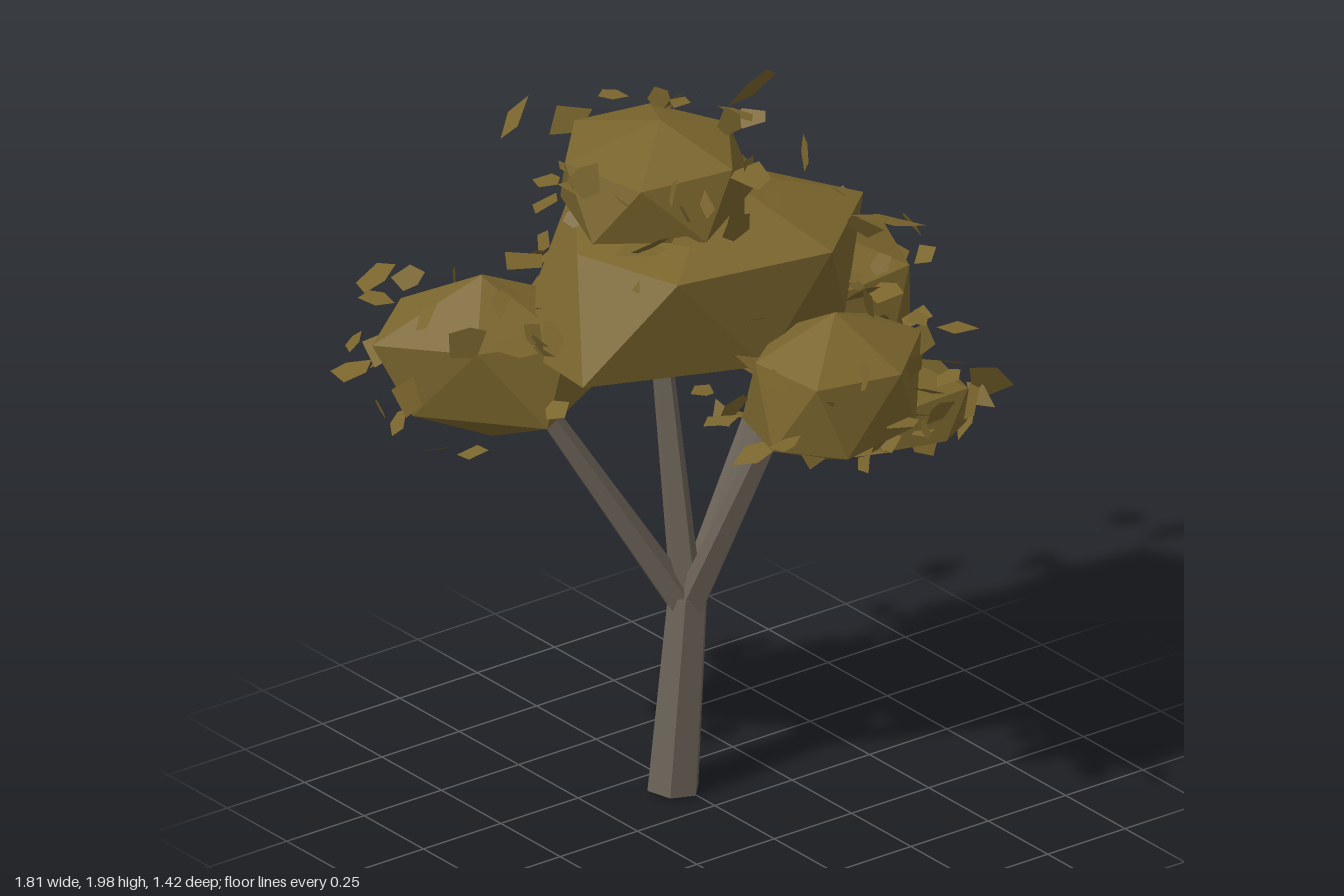
import * as THREE from 'three';
import { mergeGeometries } from 'three/addons/utils/BufferGeometryUtils.js';
import { ConvexGeometry } from 'three/addons/geometries/ConvexGeometry.js';

const V = (x, y, z) => new THREE.Vector3(x, y, z);

// Small seeded random generator
let seed = 11;
function rand(min = 0, max = 1) {
  seed = (seed * 16807) % 2147483647;
  return min + (max - min) * (seed / 2147483647);
}

// Larger loose leaves around the outside: x, y, z, size
const LOOSE = [
  [0.5, 1.72, -0.48, 0.085], [0.4, 1.63, 0.22, 0.09], [-0.02, 1.96, -0.12, 0.04],
  [-0.83, 1.31, -0.45, 0.06], [0.84, 0.93, 0.02, 0.05], [0.16, 1.28, 0.68, 0.045],
  [0.01, 1.2, 0.61, 0.045], [-0.15, 1.26, 0.5, 0.06], [0.51, 1.34, 0.35, 0.05],
  [-0.25, 1.3, 0.35, 0.06], [-0.14, 1.75, -0.66, 0.06], [0.59, 1.55, -0.62, 0.05],
  [-0.62, 1.45, -0.62, 0.06], [-0.54, 1.56, -0.2, 0.06],
];

// One flat irregular leaf with four or five corners, turned at random
function leafGeometry(x, y, z, size) {
  const n = rand() < 0.5 ? 4 : 5, shape = new THREE.Shape();
  for (let i = 0; i < n; i++) {
    const a = (i / n) * Math.PI * 2 + rand(-0.3, 0.3), r = size * rand(0.75, 1.25);
    const px = r * Math.cos(a), py = 0.75 * r * Math.sin(a);
    if (i) shape.lineTo(px, py); else shape.moveTo(px, py);
  }
  return new THREE.ShapeGeometry(shape)
    .rotateZ(rand(0, 6.28)).rotateX(rand(0, 6.28)).rotateY(rand(0, 6.28))
    .translate(x, y, z);
}

// Leaves scattered around a faceted mass
function scatteredLeaves(mass, count) {
  mass.computeBoundingBox();
  const centre = mass.boundingBox.getCenter(V(0, 0, 0));
  const half = mass.boundingBox.getSize(V(0, 0, 0)).multiplyScalar(0.5);
  const list = [];
  for (let i = 0; i < count; i++) {
    const a = i * 2.4 + rand(-0.3, 0.3), s = rand(-0.85, 0.9), c = Math.sqrt(1 - s * s);
    const out = rand(-0.02, 0.075);
    list.push(leafGeometry(
      centre.x + (half.x + out) * c * Math.cos(a),
      Math.min(centre.y + (half.y + out) * s, 1.94),
      centre.z + (half.z + out) * c * Math.sin(a),
      rand(0.034, 0.068)));
  }
  return mergeGeometries(list);
}

// Faceted foliage clump: apex and bottom points, and two level rings given as x, z pairs
function clump(name, material, leafCount, apex, bottom, upperY, upper, lowerY, lower) {
  const points = [V(...apex), V(...bottom)];
  for (const [y, ring] of [[upperY, upper], [lowerY, lower]]) {
    for (let i = 0; i < ring.length; i += 2) {
      points.push(V(ring[i], y + rand(-0.015, 0.015), ring[i + 1]));
    }
  }
  const mass = new THREE.Mesh(new ConvexGeometry(points), material);
  mass.name = 'leafMass';
  const leaves = new THREE.Mesh(scatteredLeaves(mass.geometry, leafCount), material);
  leaves.name = 'leaves';
  const group = new THREE.Group();
  group.name = name;
  return group.add(mass, leaves);
}

// Tapered limb between two points
function limb(name, from, to, r0, r1, sides, turn, material) {
  const a = V(...from), b = V(...to), dir = b.clone().sub(a);
  const mesh = new THREE.Mesh(
    new THREE.CylinderGeometry(r1, r0, dir.length(), sides).rotateY(turn), material);
  mesh.name = name;
  mesh.position.copy(a).add(b).multiplyScalar(0.5);
  mesh.quaternion.setFromUnitVectors(V(0, 1, 0), dir.normalize());
  return mesh;
}

export function createModel() {
  seed = 11;
  const bark = new THREE.MeshStandardMaterial({ color: 0x6b6257, flatShading: true });
  bark.name = 'bark';
  const foliage = new THREE.MeshStandardMaterial({ color: 0x7a652d, flatShading: true, side: THREE.DoubleSide });
  foliage.name = 'foliage';

  const tree = new THREE.Group();
  tree.name = 'tree';

  // Leaning trunk and four branches
  tree.add(limb('trunk', [-0.03, 0.008, -0.138], [0.018, 0.545, -0.138], 0.072, 0.056, 6, 0.3, bark));
  const fork = [0.018, 0.5, -0.138];
  const tips = {
    rightBranch: [-0.36, 1.17, -0.31],
    leftBranch: [0.42, 1.09, -0.27],
    frontBranch: [0.075, 1.2, 0.2],
    middleBranch: [-0.005, 1.28, -0.23],
  };
  for (const [name, tip] of Object.entries(tips)) {
    tree.add(limb(name, fork, tip, 0.043, 0.027, 5, 0, bark));
  }

  // Foliage clumps with their scattered leaves
  tree.add(
    clump('mainFoliage', foliage, 30, [0.1, 1.73, -0.13], [0, 1.18, -0.14],
      1.62, [0.48, 0, 0.18, 0.26, -0.25, 0.17, -0.33, -0.15, -0.1, -0.46, 0.25, -0.42],
      1.33, [0.36, 0.08, 0, 0.21, -0.45, 0.03, -0.42, -0.3, 0.05, -0.54, 0.36, -0.3]),
    clump('topFoliage', foliage, 28, [-0.1, 1.94, -0.1], [-0.1, 1.64, -0.08],
      1.87, [0.12, -0.1, 0.02, -0.3, -0.2, -0.33, -0.37, -0.15, -0.3, 0.08, -0.05, 0.14],
      1.71, [0.13, 0, 0.1, -0.22, -0.1, -0.33, -0.3, -0.26, -0.38, -0.02, -0.15, 0.16]),
    clump('frontFoliage', foliage, 26, [0.12, 1.5, 0.35], [0.1, 1.08, 0.33],
      1.39, [0.36, 0.4, 0.18, 0.55, -0.07, 0.52, -0.1, 0.3, 0.1, 0.14, 0.33, 0.22],
      1.2, [0.32, 0.33, 0.25, 0.52, 0, 0.56, -0.12, 0.4, -0.05, 0.18, 0.2, 0.14]),
    clump('rightFoliage', foliage, 28, [-0.46, 1.5, -0.38], [-0.45, 1.05, -0.35],
      1.38, [-0.77, -0.44, -0.57, -0.58, -0.3, -0.53, -0.2, -0.33, -0.36, -0.15, -0.6, -0.22],
      1.17, [-0.7, -0.36, -0.62, -0.52, -0.4, -0.6, -0.22, -0.45, -0.22, -0.22, -0.45, -0.12]),
    clump('leftFoliage', foliage, 28, [0.48, 1.43, -0.25], [0.46, 1, -0.25],
      1.32, [0.77, -0.3, 0.7, -0.47, 0.4, -0.5, 0.28, -0.3, 0.4, -0.04, 0.66, -0.04],
      1.09, [0.77, -0.18, 0.74, -0.4, 0.5, -0.51, 0.25, -0.4, 0.25, -0.12, 0.55, 0.01]),
    clump('lowFoliage', foliage, 20, [0.63, 1.08, -0.03], [0.63, 0.82, -0.03],
      1, [0.79, -0.08, 0.7, -0.18, 0.55, -0.16, 0.49, -0.02, 0.58, 0.1, 0.75, 0.09],
      0.89, [0.81, 0.02, 0.77, -0.14, 0.62, -0.2, 0.48, -0.1, 0.5, 0.06, 0.65, 0.13]));

  // Loose outer leaves
  const loose = new THREE.Mesh(mergeGeometries(LOOSE.map((l) => leafGeometry(...l))), foliage);
  loose.name = 'looseLeaves';
  tree.add(loose);
  return tree;
}
